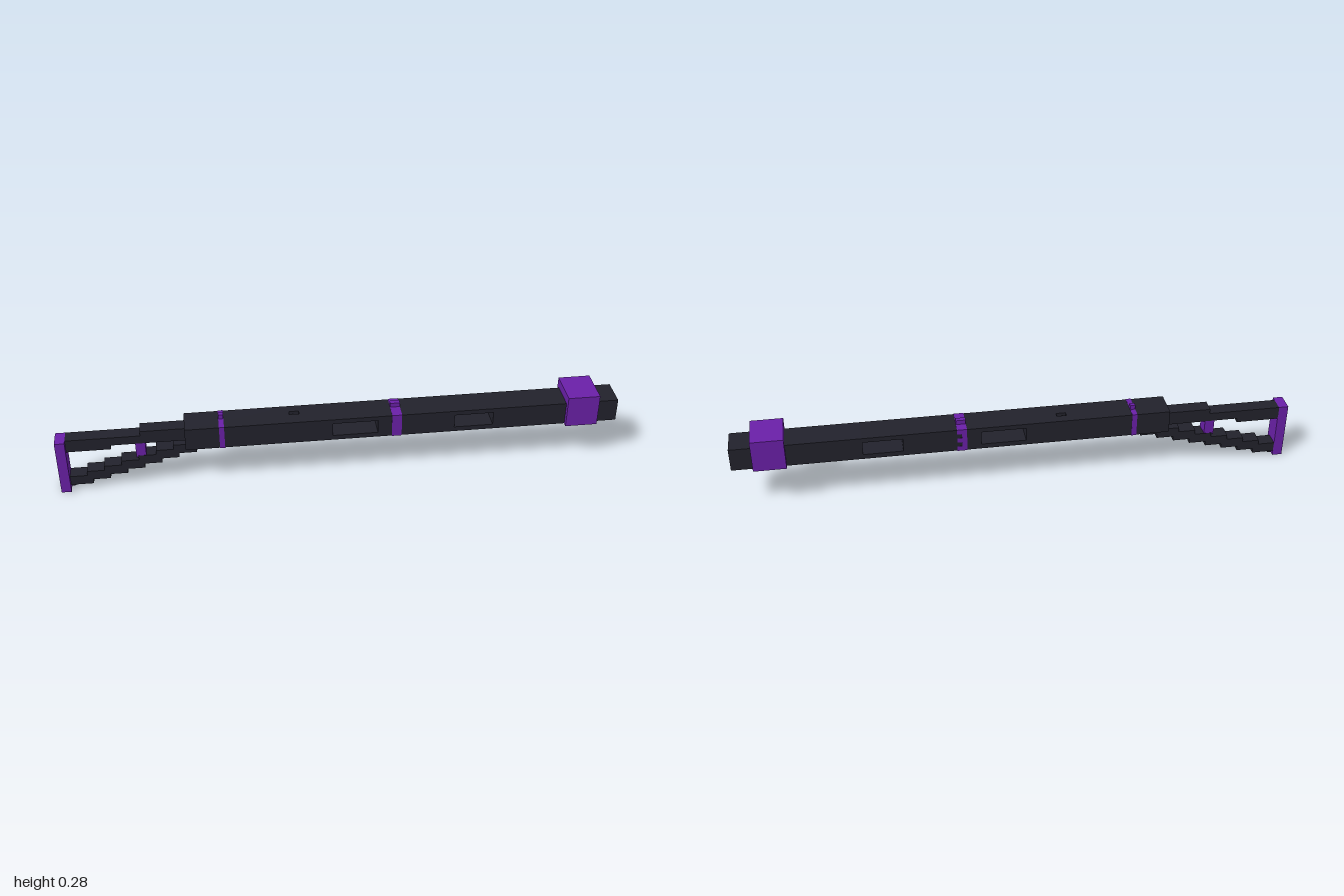
import * as THREE from 'three';

const V = 0.0175; // size of one block cell

export function createModel() {
  const model = new THREE.Group();
  const dark = new THREE.MeshStandardMaterial({ color: 0x22222c });
  dark.name = 'charcoal';
  const purple = new THREE.MeshStandardMaterial({ color: 0x6a20a8 });
  purple.name = 'purple';

  // Box given by its limits on each axis
  function block(name, mat, x0, x1, y0, y1, z0, z1, parent = model) {
    const mesh = new THREE.Mesh(new THREE.BoxGeometry(x1 - x0, y1 - y0, z1 - z0), mat);
    mesh.position.set((x0 + x1) / 2, (y0 + y1) / 2, (z0 + z1) / 2);
    mesh.name = name;
    parent.add(mesh);
  }
  function group(name) {
    const g = new THREE.Group();
    g.name = name;
    model.add(g);
    return g;
  }

  // Barrel body: solid lengths, two open windows and a small vertical recess
  const barrel = group('barrel');
  const B = 0.16, T = 0.245, Z = 0.0525;
  for (const [x0, x1] of [[-0.55, -0.18], [-0.145, -0.03], [0.13, 0.405], [0.545, 1]])
    block('barrelSection', dark, x0, x1, B, T, -Z, Z, barrel);
  for (const [x0, x1] of [[-0.03, 0.13], [0.405, 0.545]]) {
    block('windowTopRail', dark, x0, x1, 0.228, T, -Z, Z, barrel);
    block('windowBottomRail', dark, x0, x1, B, 0.178, -Z, Z, barrel);
  }
  block('recessSide', dark, -0.18, -0.145, B, T, 0, Z, barrel);
  block('recessSide', dark, -0.18, -0.145, B, T, -Z, -V, barrel);
  block('recessFloor', dark, -0.18, -0.145, B + V, T - V, -V, 0, barrel);

  // Muzzle block
  block('muzzleBlock', purple, 0.81, 0.925, 0.159, 0.278, -0.069, 0.07);

  // Rear band with its sight tab
  const e = 0.0012;
  block('rearBand', purple, -0.43, -0.412, B - e, T + e, -Z - e, Z + e);
  block('rearSight', purple, -0.43, -0.412, T, 0.262, -V, 0);

  // Front band: the back side has a toothed edge
  const band = group('frontBand');
  block('bandFront', purple, 0.18, 0.215, B - e, T + e, Z - 0.01, Z + e, band);
  block('bandTop', purple, 0.18, 0.215, T - 0.01, T + e, -Z - e, Z + e, band);
  block('bandBottom', purple, 0.18, 0.215, B - e, B + 0.01, -Z - e, Z + e, band);
  const row = (T - B) / 5;
  for (let i = 0; i < 5; i++)
    block('bandTooth', purple, 0.18, i % 2 ? 0.1975 : 0.215, B + i * row, B + (i + 1) * row, -Z - e, -Z + 0.01, band);
  block('frontSight', purple, 0.18, 0.215, T, 0.262, -V, 0);

  // Upper stock bar, stepping up to the body
  const stock = group('stock');
  const S0 = -0.034, S1 = 0.018;
  block('upperBarRear', dark, -0.966, -0.81, 0.162, 0.21, S0, S1, stock);
  block('upperBarMiddle', dark, -0.81, -0.7, 0.178, 0.21, S0, S1, stock);
  block('upperBarFront', dark, -0.705, -0.55, 0.178, 0.228, S0, S1, stock);

  // Lower stock as a staircase
  for (let i = 0; i < 8; i++) {
    const x = -0.966 + i * 0.062, y = 0.019 + i * V;
    block('stockStep', dark, x, x + 0.081, y, y + 0.036, S0, S1, stock);
  }
  block('stockHeel', dark, -0.966, -0.95, 0.002, 0.02, -V, 0, stock);
  block('stockStrut', purple, -0.725, -0.69, 0.12, 0.18, S0 + 0.001, S1 - 0.001);

  // Butt plate
  block('buttPlate', purple, -1, -0.965, 0, 0.21, -0.034, 0.034);
  return model;
}
